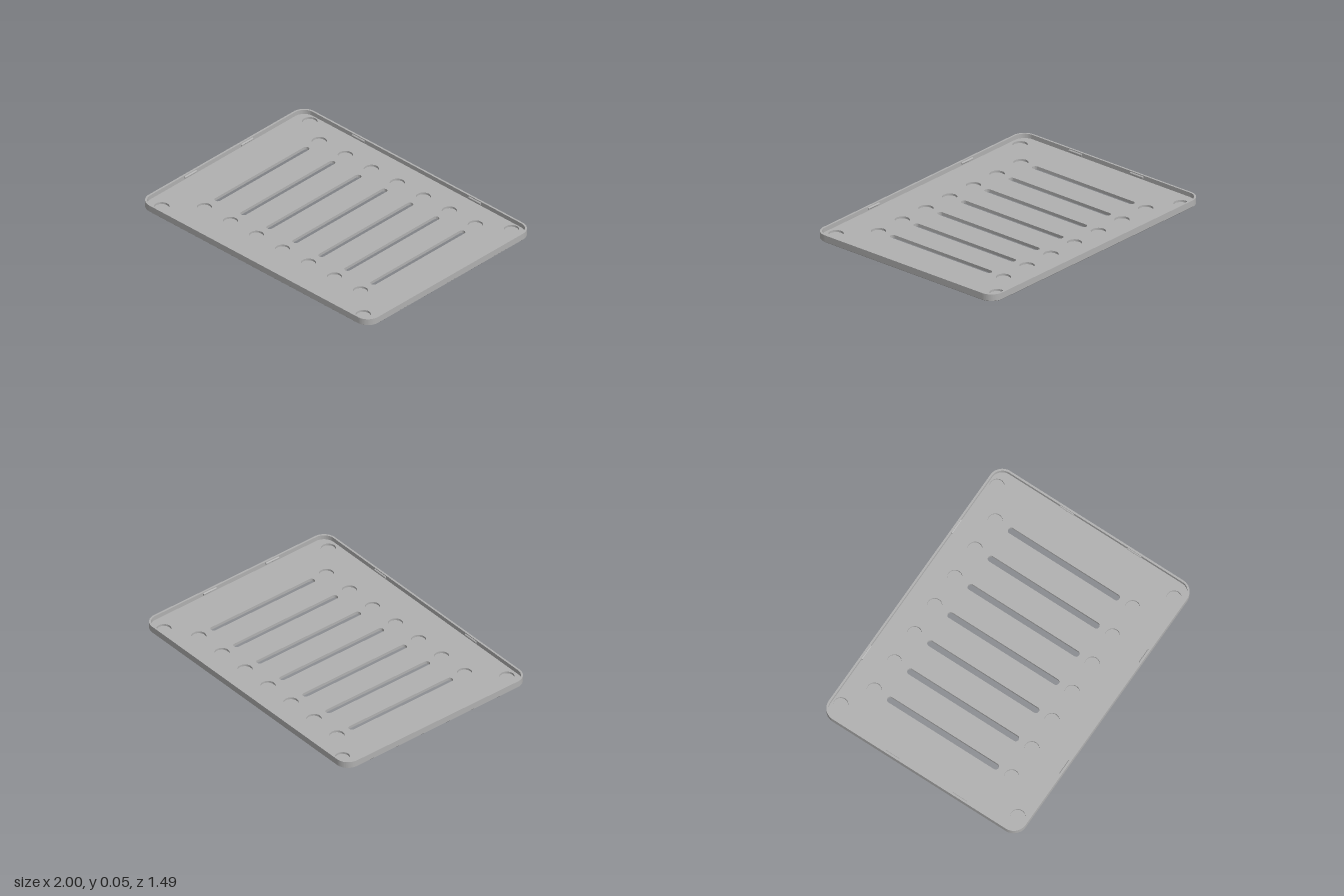
import * as THREE from 'three';
import { toCreasedNormals } from 'three/addons/utils/BufferGeometryUtils.js';

const W = 2, D = 1.49, H = 0.05, WALL = 0.013, CORNER = 0.09;
const SKIN = 0.006, FLOOR = 0.02;
const SLOT_X = [-3, -2, -1, 0, 1, 2, 3].map((i) => i * 0.227);
const SLOT_BACK = -0.455, SLOT_FRONT = 0.385, SLOT_R = 0.021;
const POCKET_R = 0.048;

// Rounded rectangle outline, used for the shape itself or a hole
function roundedRect(w, d, r, Type = THREE.Shape) {
  const x = w / 2 - r, y = d / 2 - r;
  const p = new Type();
  p.absarc(x, y, r, 0, Math.PI / 2);
  p.absarc(-x, y, r, Math.PI / 2, Math.PI);
  p.absarc(-x, -y, r, Math.PI, Math.PI * 1.5);
  p.absarc(x, -y, r, Math.PI * 1.5, Math.PI * 2);
  p.closePath();
  return p;
}

function slotHole(x) {
  const p = new THREE.Path();
  p.absarc(x, -SLOT_BACK - SLOT_R, SLOT_R, 0, Math.PI);
  p.absarc(x, -SLOT_FRONT + SLOT_R, SLOT_R, Math.PI, Math.PI * 2);
  p.closePath();
  return p;
}

function pocketHole(x, z) {
  return new THREE.Path().absarc(x, -z, POCKET_R, 0, Math.PI * 2);
}

// Upright slab between two heights
function slab(shape, y0, y1) {
  const g = new THREE.ExtrudeGeometry(shape, { depth: y1 - y0, bevelEnabled: false, curveSegments: 14 });
  return g.rotateX(-Math.PI / 2).translate(0, y0, 0);
}

export function createModel() {
  const tray = new THREE.Group();
  tray.name = 'tray';
  const grey = new THREE.MeshStandardMaterial({ color: 0xb0b0b0 });
  grey.name = 'grey';
  const add = (name, geometry) => {
    const mesh = new THREE.Mesh(toCreasedNormals(geometry, 0.5), grey);
    mesh.name = name;
    tray.add(mesh);
    return mesh;
  };

  // Thin bottom skin with a chamfered lower rim
  const bottom = roundedRect(W, D, CORNER);
  SLOT_X.forEach((x) => bottom.holes.push(slotHole(x)));
  const skin = slab(bottom, 0, SKIN);
  const pos = skin.attributes.position;
  for (let i = 0; i < pos.count; i++) {
    const x = pos.getX(i), z = pos.getZ(i);
    if (pos.getY(i) < 0.001 && (Math.abs(x) > 0.85 || Math.abs(z) > 0.6)) {
      pos.setX(i, x * (1 - 0.012 / W));
      pos.setZ(i, z * (1 - 0.012 / D));
    }
  }
  add('bottomSkin', skin);

  // Floor with slots and round blind pockets
  const floor = roundedRect(W - 2 * WALL, D - 2 * WALL, CORNER - WALL);
  SLOT_X.forEach((x) => {
    floor.holes.push(slotHole(x), pocketHole(x, SLOT_BACK - 0.1), pocketHole(x, SLOT_FRONT + 0.1));
  });
  for (const x of [-0.88, 0.88]) {
    floor.holes.push(pocketHole(x, -0.675), pocketHole(x, 0.665));
  }
  add('floor', slab(floor, SKIN, FLOOR));

  // Rim wall
  const rim = roundedRect(W, D, CORNER);
  rim.holes.push(roundedRect(W - 2 * WALL, D - 2 * WALL, CORNER - WALL, THREE.Path));
  add('rimWall', slab(rim, SKIN, H));

  // Small snap ridges on the inside of the rim
  const ridge = (x, z, alongX) => {
    const g = new THREE.CylinderGeometry(0.008, 0.008, 0.105, 12);
    if (alongX) g.rotateZ(Math.PI / 2);
    else g.rotateX(Math.PI / 2);
    add('snapRidge', g.translate(x, 0.036, z));
  };
  const ix = W / 2 - WALL, iz = D / 2 - WALL;
  for (const s of [-1, 1]) {
    ridge(s * 0.508, -iz, true);
    ridge(s * 0.447, iz, true);
    ridge(s * ix, -0.215, false);
    ridge(s * ix, 0.295, false);
  }
  return tray;
}
